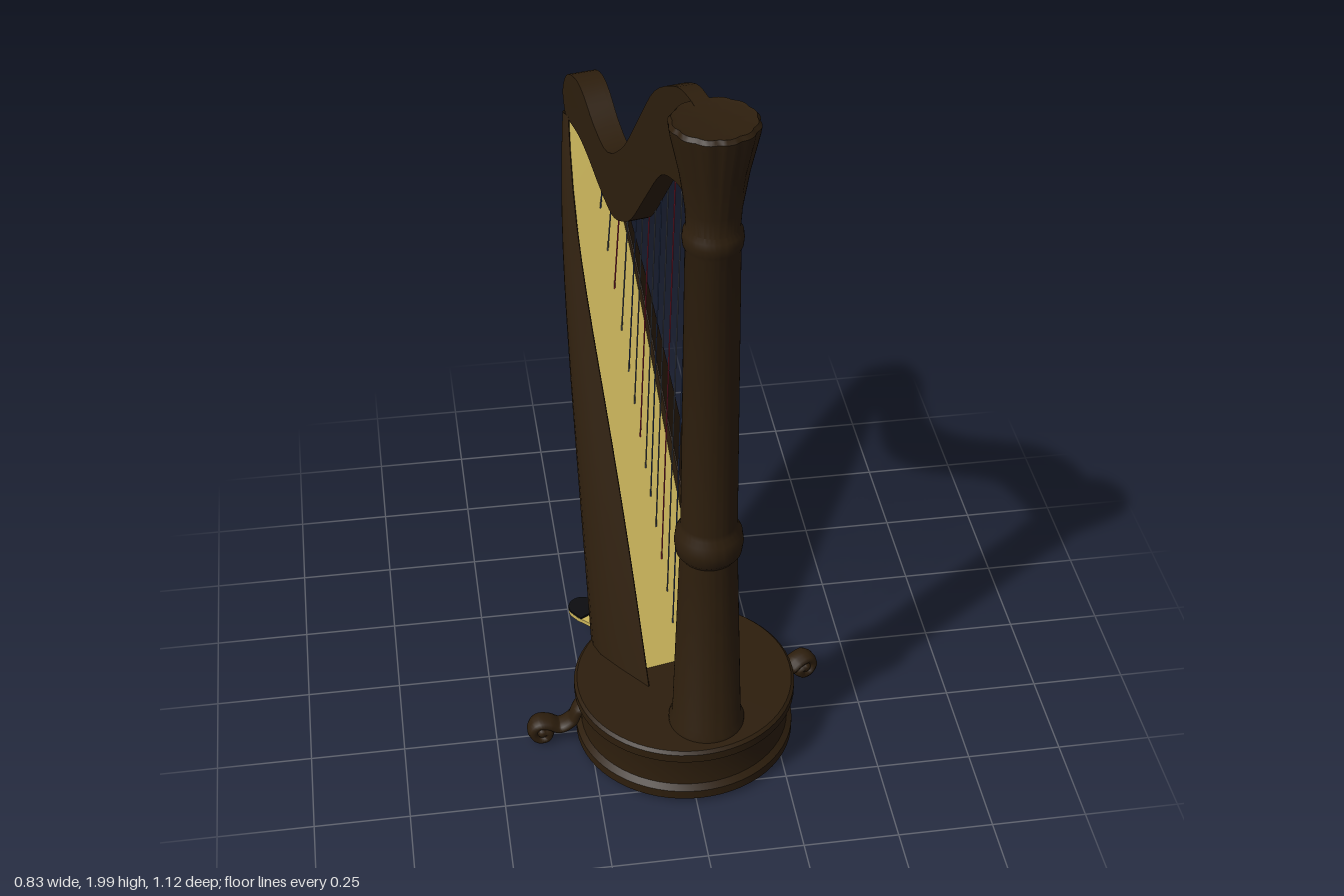
import * as THREE from 'three';
import { toCreasedNormals } from 'three/addons/utils/BufferGeometryUtils.js';

const material = (name, color, side = THREE.FrontSide) => {
  const m = new THREE.MeshStandardMaterial({ color, side });
  m.name = name;
  return m;
};
const wood = material('dark wood', 0x2d1e0d, THREE.DoubleSide);
const gold = material('pale gold', 0xcdb75c, THREE.DoubleSide);
const padBlack = material('pad black', 0x0c0d10);
const steel = material('string grey', 0x5c606a);
const red = material('string red', 0xae2c46);
const blue = material('string blue', 0x394a74);

const v2 = (p) => new THREE.Vector2(...p);
const lerp = THREE.MathUtils.lerp;
const add = (parent, name, geometry, mat) => {
  const mesh = new THREE.Mesh(geometry, mat);
  mesh.name = name;
  parent.add(mesh);
  return mesh;
};
const lathe = (profile, segments = 48) =>
  toCreasedNormals(new THREE.LatheGeometry(profile.map(v2), segments), 0.6);
const rod = (a, b, r, sides = 6) =>
  new THREE.TubeGeometry(new THREE.LineCurve3(a, b), 1, r, sides);

// The harp turns on its base, so everything is built along local z and rotated
const CENTRE_Z = 0.265, TURN = 0.2;
const localZ = (z) => (z - CENTRE_Z) / Math.cos(TURN);
const outline = (pts) => new THREE.SplineCurve(pts.map(([z, y]) => new THREE.Vector2(localZ(z), y))).getPoints(44);
const band = (top, bottom) => [...outline(top), ...outline(bottom).reverse()];
const neckHalf = (z) => lerp(0.038, 0.021, THREE.MathUtils.clamp((z + 0.83) / 0.93, 0, 1));

const neckOutline = band(
  [[0.40, 1.985], [0.33, 1.995], [0.245, 1.98], [0.115, 1.9], [0.01, 1.77], [-0.1, 1.63], [-0.215, 1.55],
    [-0.31, 1.57], [-0.39, 1.62], [-0.45, 1.635], [-0.52, 1.61], [-0.555, 1.545], [-0.54, 1.485]],
  [[0.40, 1.73], [0.33, 1.732], [0.245, 1.73], [0.155, 1.695], [0.06, 1.585], [-0.045, 1.455], [-0.115, 1.405],
    [-0.19, 1.38], [-0.28, 1.41], [-0.36, 1.45], [-0.43, 1.475], [-0.5, 1.48]]);
const plateOutline = band(
  [[0.345, 1.955], [0.3, 1.955], [0.245, 1.94], [0.14, 1.87], [0.035, 1.725], [-0.07, 1.575], [-0.19, 1.495],
    [-0.31, 1.51], [-0.415, 1.58], [-0.478, 1.605]],
  [[0.37, 1.765], [0.245, 1.767], [0.14, 1.739], [0.045, 1.627], [-0.055, 1.482], [-0.135, 1.432],
    [-0.205, 1.42], [-0.31, 1.458], [-0.39, 1.485], [-0.475, 1.497]]);

// Slice of the neck between two fractions of its half thickness, which grows towards the back
function neckSlice(shape, from, to) {
  const g = new THREE.ExtrudeGeometry(shape, { depth: to - from, bevelEnabled: false });
  g.rotateY(-Math.PI / 2).translate(to, 0, 0);
  const p = g.attributes.position;
  for (let i = 0; i < p.count; i++) p.setX(i, p.getX(i) * neckHalf(p.getZ(i)));
  return toCreasedNormals(g, 0.6);
}

const RECESS = 0.62;
function buildNeck(harp) {
  const rim = new THREE.Shape(neckOutline);
  rim.holes.push(new THREE.Path(plateOutline));
  add(harp, 'neck', neckSlice(new THREE.Shape(neckOutline), -1, RECESS), wood);
  add(harp, 'neckRim', neckSlice(rim, RECESS, 1), wood);
  add(harp, 'neckPlate', neckSlice(new THREE.Shape(plateOutline), RECESS, RECESS + 0.12), gold);
}

// Soundbox: horizontal sections with a narrow open front and a broad rounded back
const Y0 = 0.185, Y1 = 1.49, ROWS = 16;
const bow = (t) => Math.sin(Math.PI * t ** 2.5);
const boardZ = (t) => lerp(-0.055, -0.805, t);
const boardHalf = (t) => lerp(0.1, 0.032, t) + 0.02 * bow(t);

function soundboxSection(t) {
  const f = boardHalf(t) + 0.005;
  const w = lerp(0.192, 0.044, t) + 0.012 * Math.sin(Math.PI * t) + 0.012 * bow(t);
  const zf = lerp(0.015, -0.797, t), zb = lerp(-0.27, -0.832, t), d = zf - zb;
  const half = [
    [boardHalf(t), boardZ(t)], [f - 0.003, zf - 0.003], [f, zf],
    [lerp(f, w, 0.55), zf - 0.33 * d], [lerp(f, w, 0.92), zf - 0.58 * d], [w, zf - 0.73 * d],
    [w * 0.975, zf - 0.86 * d], [w * 0.87, zf - 0.96 * d], [w * 0.6, zb], [0, zb],
  ];
  return [...half, ...half.slice(0, -1).reverse().map(([x, z]) => [-x, z])];
}

function loft(rows) {
  const n = rows[0].length, index = [];
  for (let i = 0; i < rows.length - 1; i++)
    for (let j = 0; j < n - 1; j++) {
      const a = i * n + j, b = a + n;
      index.push(a, b, a + 1, b, b + 1, a + 1);
    }
  const g = new THREE.BufferGeometry();
  g.setAttribute('position', new THREE.Float32BufferAttribute(rows.flat(2), 3));
  g.setIndex(index);
  return toCreasedNormals(g, 0.7);
}

function buildSoundbox(harp) {
  const shell = [], board = [];
  for (let i = 0; i <= ROWS; i++) {
    const t = i / ROWS, y = lerp(Y0, Y1, t), h = boardHalf(t);
    shell.push(soundboxSection(t).map(([x, z]) => [x, y, z]));
    board.push([[h, y, boardZ(t)], [-h, y, boardZ(t)]]);
  }
  add(harp, 'soundbox', loft(shell), wood);
  add(harp, 'soundboard', loft(board), gold);
}

function buildColumn(harp) {
  const g = new THREE.LatheGeometry([
    [0.099, 0.18], [0.099, 0.2], [0.09, 0.215], [0.074, 0.72], [0.072, 0.755], [0.083, 0.77], [0.087, 0.8],
    [0.083, 0.83], [0.073, 0.845], [0.071, 0.86], [0.065, 1.66], [0.07, 1.672], [0.072, 1.69], [0.07, 1.708],
    [0.063, 1.72], [0.066, 1.77], [0.082, 1.87], [0.103, 1.965], [0.106, 1.985], [0.098, 1.995], [0.085, 1.992], [0, 1.997],
  ].map(v2), 72);
  // Scallop the flared crown
  const p = g.attributes.position;
  for (let i = 0; i < p.count; i++) {
    const k = THREE.MathUtils.smoothstep(p.getY(i), 1.73, 1.87);
    const s = 1 - 0.045 * k * (1 - Math.abs(Math.cos(6 * Math.atan2(p.getX(i), p.getZ(i)))));
    p.setX(i, p.getX(i) * s);
    p.setZ(i, p.getZ(i) * s);
  }
  add(harp, 'column', toCreasedNormals(g, 0.6), wood).position.z = 0.17;
}

function buildStrings(harp) {
  const pegs = [[0.315, 1.915], [0.267, 1.905], [0.214, 1.88], [0.167, 1.845], [0.119, 1.805], [0.071, 1.76],
    [0.024, 1.685], [-0.019, 1.62], [-0.066, 1.555], [-0.114, 1.52], [-0.161, 1.49], [-0.22, 1.468],
    [-0.278, 1.478], [-0.331, 1.495], [-0.389, 1.52], [-0.447, 1.542]];
  const TIP = 0.036, lean = 0.037, slope = (boardZ(1) - boardZ(0)) / (Y1 - Y0);
  pegs.forEach(([wz, y], i) => {
    const z = localZ(wz);
    const mat = i % 4 === 0 ? red : i % 4 === 2 ? blue : steel;
    // Follow the leaning string down to the soundboard
    const endY = Y0 + (z - boardZ(0) - lean * (y - Y0)) / (slope - lean);
    const bottomY = Math.max(endY, Y0 + 0.01);
    const bottom = new THREE.Vector3(0.008, bottomY, z - lean * (y - bottomY));
    add(harp, 'string', rod(bottom, new THREE.Vector3(TIP - 0.006, y, z), 0.002), mat);
    const root = RECESS * neckHalf(z);
    add(harp, 'tuningPeg',
      new THREE.CylinderGeometry(0.008, 0.008, TIP - root, 10).rotateZ(Math.PI / 2), i % 4 === 0 ? red : steel)
      .position.set((TIP + root) / 2, y, z);
  });
}

function buildBase(harp) {
  add(harp, 'base', lathe([
    [0, 0.015], [0.285, 0.015], [0.293, 0.022], [0.293, 0.048], [0.285, 0.056], [0.279, 0.062], [0.276, 0.1],
    [0.279, 0.142], [0.288, 0.15], [0.296, 0.158], [0.296, 0.182], [0.288, 0.19], [0, 0.191],
  ], 64), wood);

  // Scrolled feet either side
  const path = new THREE.CatmullRomCurve3([[0.25, 0.13], [0.285, 0.115], [0.305, 0.075], [0.34, 0.055], [0.37, 0.07],
    [0.398, 0.072], [0.413, 0.05], [0.4, 0.026], [0.378, 0.026], [0.37, 0.044], [0.385, 0.051]]
    .map(([r, y]) => new THREE.Vector3(0, y, -r)));
  for (const side of [-1, 1]) {
    const pivot = new THREE.Group();
    pivot.name = 'foot';
    pivot.rotation.y = side * 1.37;
    add(pivot, 'footScroll', new THREE.TubeGeometry(path, 48, 0.016, 10), wood).scale.x = 1.9;
    for (const x of [-0.016, 0.016])
      add(pivot, 'footScrollEye', new THREE.SphereGeometry(0.015, 12, 8), wood).position.set(x, 0.048, -0.388);
    harp.add(pivot);
  }

  // Three pedals fanned out at the back
  const paddle = new THREE.Shape();
  paddle.moveTo(-0.022, 0.25).lineTo(0.022, 0.25).lineTo(0.022, 0.36)
    .quadraticCurveTo(0.024, 0.39, 0.036, 0.42).lineTo(0.038, 0.45)
    .absarc(0, 0.45, 0.038, 0, Math.PI, false).lineTo(-0.036, 0.42)
    .quadraticCurveTo(-0.024, 0.39, -0.022, 0.36);
  const pad = new THREE.Shape();
  pad.moveTo(-0.034, 0.412).lineTo(0.034, 0.412).lineTo(0.038, 0.45)
    .absarc(0, 0.45, 0.038, 0, Math.PI, false);
  const slab = (shape, depth, y) => new THREE.ExtrudeGeometry(shape, { depth, bevelEnabled: false, curveSegments: 16 })
    .rotateX(-Math.PI / 2).translate(0, y, 0);
  for (const k of [-1, 0, 1]) {
    const pedal = new THREE.Group();
    pedal.name = 'pedal';
    pedal.rotation.y = k * 0.34;
    add(pedal, 'pedalArm', slab(paddle, 0.012, 0.112), gold);
    add(pedal, 'pedalPad', slab(pad, 0.006, 0.124), padBlack);
    harp.add(pedal);
  }
}

export function createModel() {
  const model = new THREE.Group();
  model.name = 'concertHarp';
  const harp = new THREE.Group();
  harp.name = 'harp';
  harp.position.set(0.01, 0, CENTRE_Z);
  harp.rotation.y = TURN;
  model.add(harp);
  buildBase(harp);
  buildColumn(harp);
  buildSoundbox(harp);
  buildNeck(harp);
  buildStrings(harp);
  return model;
}
